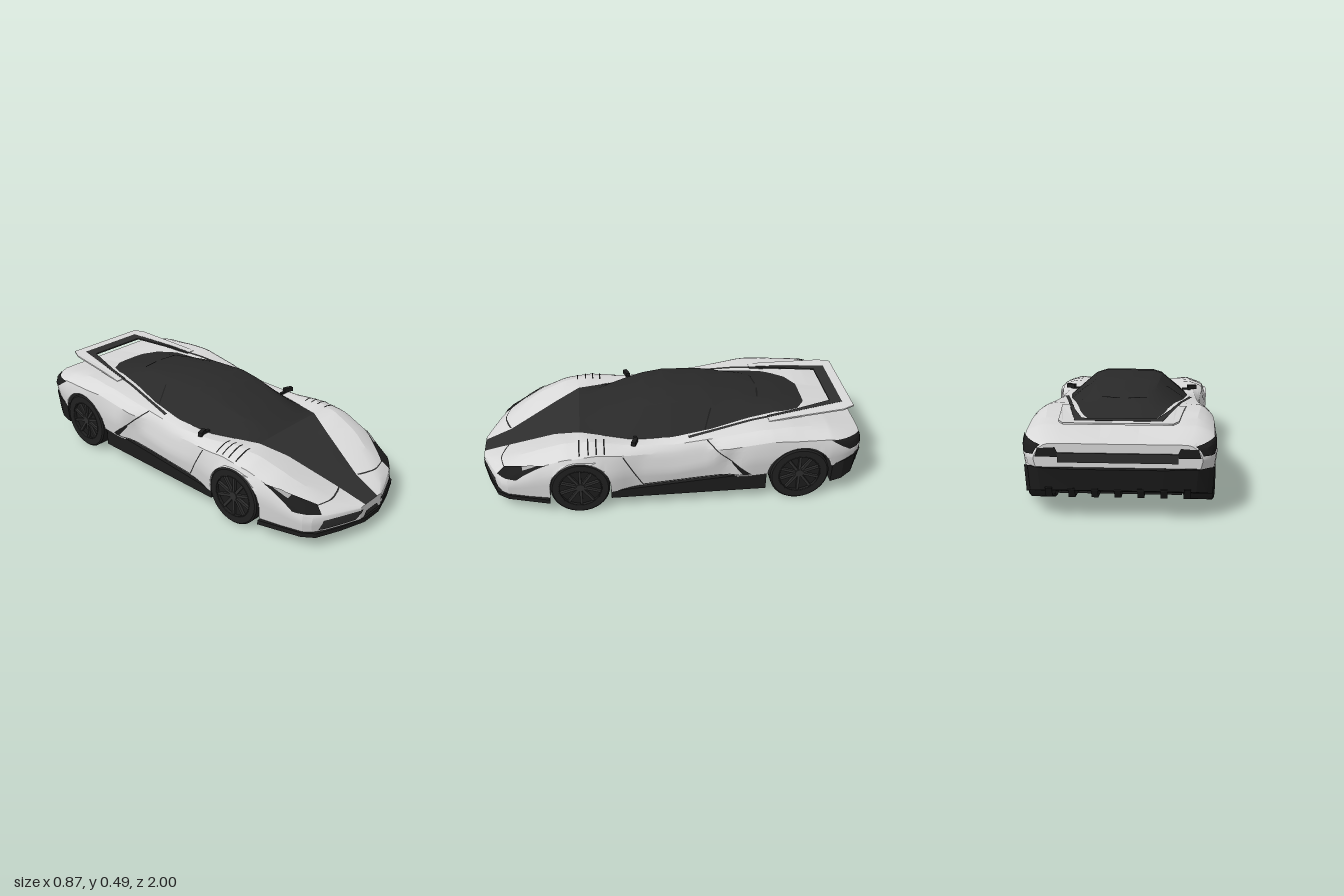
import * as THREE from 'three';
import { toCreasedNormals } from 'three/addons/utils/BufferGeometryUtils.js';

const paint = (name, color) => new THREE.MeshStandardMaterial({ name, color, side: THREE.DoubleSide });

// Piecewise linear profile along z, keys listed from nose to tail
const track = keys => z => {
  if (z >= keys[0][0]) return keys[0][1];
  for (let i = 1; i < keys.length; i++) {
    const [z0, v0] = keys[i - 1], [z1, v1] = keys[i];
    if (z >= z1) return v0 + (v1 - v0) * (z0 - z) / (z0 - z1);
  }
  return keys[keys.length - 1][1];
};

// Body lines: centre, glass edge, fender crest, shoulder, flank, lower edge
const centreY = track([[1, .15], [.85, .2], [.7, .27], [.47, .355], [.3, .42], [.12, .475], [0, .49], [-.2, .485], [-.4, .455], [-.6, .415], [-.73, .385], [-.97, .345]]);
const glassX = track([[1, .05], [.85, .075], [.6, .16], [.47, .22], [.2, .295], [0, .315], [-.2, .29], [-.4, .245], [-.6, .2], [-.68, .165], [-.73, .09], [-.97, .08]]);
const glassY = track([[1, .15], [.85, .2], [.6, .31], [.47, .353], [.2, .34], [0, .355], [-.2, .375], [-.4, .4], [-.55, .406], [-.73, .383], [-.97, .345]]);
const crestX = track([[1, .055], [.95, .14], [.85, .22], [.7, .28], [.48, .32], [.25, .345], [0, .36], [-.5, .37], [-.85, .33], [-.97, .3]]);
const crestY = track([[1, .148], [.9, .19], [.8, .245], [.68, .305], [.55, .35], [.42, .365], [.25, .345], [0, .34], [-.25, .372], [-.45, .403], [-.6, .405], [-.8, .388], [-.97, .345]]);
const shoulderX = track([[1, .06], [.97, .14], [.9, .3], [.85, .345], [.7, .385], [.5, .41], [.3, .405], [.15, .385], [-.1, .382], [-.18, .385], [-.25, .42], [-.6, .43], [-.85, .42], [-.93, .395], [-.97, .345]]);
const shoulderY = track([[1, .145], [.9, .165], [.8, .21], [.68, .27], [.55, .315], [.4, .33], [.2, .31], [0, .3], [-.25, .33], [-.5, .365], [-.8, .355], [-.97, .32]]);
const flankX = track([[1, .06], [.95, .2], [.9, .32], [.85, .36], [.75, .39], [.6, .425], [.4, .435], [.3, .425], [.2, .402], [-.15, .4], [-.28, .404], [-.35, .435], [-.8, .435], [-.87, .425], [-.93, .405], [-.97, .365]]);
const flankY = track([[1, .12], [.85, .14], [.6, .22], [0, .2], [-.3, .25], [-.97, .28]]);
const lowerY = track([[1, .08], [.63, .08], [.33, .105], [-.48, .165], [-.82, .19], [-.97, .24]]);

const axles = [{ name: 'front', z: .48, r: .15, arch: .153 }, { name: 'rear', z: -.65, r: .154, arch: .168 }];
const archY = z => {
  let y = 0;
  for (const a of axles) {
    const d = Math.abs(z - a.z);
    if (d <= a.arch + 1e-6) y = a.r + Math.sqrt(Math.max(0, a.arch ** 2 - d * d));
  }
  return y;
};

// Full cross-section from the right lower edge over the roof to the left one
function section(z) {
  const gx = glassX(z), gy = glassY(z), cy = centreY(z), low = archY(z);
  const domeX = [0, .42, .57, .75], domeY = [1, .99, .88, .52];
  const half = domeX.map((t, i) => [t * gx, gy + (cy - gy) * domeY[i]]);
  const side = new THREE.CatmullRomCurve3([[gx, gy], [crestX(z), crestY(z)], [shoulderX(z), shoulderY(z)],
    [flankX(z), flankY(z)], [flankX(z) * .975, lowerY(z)]].map(p => new THREE.Vector3(p[0], p[1], 0)), false, 'catmullrom', .25);
  for (const p of side.getPoints(12)) half.push([p.x, Math.max(p.y, low)]);
  return [...half.slice(1).reverse().map(([x, y]) => [-x, y]), ...half];
}

function gridGeometry(rows) {
  const n = rows[0].length, index = [];
  for (let i = 0; i + 1 < rows.length; i++) for (let j = 0; j + 1 < n; j++) {
    const a = i * n + j, q = [a, a + 1, a + n, a + n + 1];
    if (q.every(k => rows[Math.floor(k / n)][k % n])) index.push(q[0], q[1], q[2], q[1], q[3], q[2]);
  }
  const g = new THREE.BufferGeometry();
  g.setAttribute('position', new THREE.Float32BufferAttribute(rows.flat().flatMap(p => p || [0, 0, 0]), 3));
  g.setIndex(index);
  return toCreasedNormals(g, .3);
}

// Half outline in plan (x, z), mirrored and thickened upward
function planExtrude(half, y0, y1) {
  const pts = [...half, ...half.slice().reverse().map(([x, z]) => [-x, z])];
  const s = new THREE.Shape(pts.map(([x, z]) => new THREE.Vector2(x, -z)));
  return new THREE.ExtrudeGeometry(s, { depth: y1 - y0, bevelEnabled: false }).rotateX(-Math.PI / 2).translate(0, y0, 0);
}

// Side profile in (z, y), thickened along x
function sideExtrude(profile, depth, x) {
  const s = new THREE.Shape(profile.map(([z, y]) => new THREE.Vector2(-z, y)));
  return new THREE.ExtrudeGeometry(s, { depth, bevelEnabled: false }).rotateY(Math.PI / 2).translate(x, 0, 0);
}

function reshape(g, rule) {
  const p = g.attributes.position;
  for (let i = 0; i < p.count; i++) p.setXYZ(i, ...rule(p.getX(i), p.getY(i), p.getZ(i)));
  g.computeVertexNormals();
  return g;
}

export function createModel() {
  const car = new THREE.Group();
  car.name = 'sportsCar';
  const white = paint('bodyWhite', 0xd8d8d8), carbon = paint('carbonGrey', 0x2e2e2e), glass = paint('tintedGlass', 0x292929);
  const black = paint('trimBlack', 0x1c1c1c), tyre = paint('tyreBlack', 0x202020), silver = paint('silver', 0xa8a8a8);
  const add = (name, geo, mat, parent = car) => {
    const m = new THREE.Mesh(geo, mat);
    m.name = name;
    parent.add(m);
    return m;
  };
  const pair = (name, geo, mat) => {
    add(name + 'Left', geo, mat);
    add(name + 'Right', geo, mat).scale.x = -1;
  };

  // Shell lofted along z, with wheel arches cut into its lower edge
  const zs = [.47, -.73, -.97];
  for (let z = .99; z > -.96; z -= .035) zs.push(z);
  for (const a of axles) {
    for (let k = 0; k <= 16; k++) zs.push(a.z + a.arch * Math.cos(k * Math.PI / 16));
    zs.push(a.z + a.arch + .002, a.z - a.arch - .002);
  }
  zs.sort((a, b) => b - a);
  const loft = (from, to, j0, j1) => gridGeometry(zs.filter(z => z <= from + 1e-6 && z >= to - 1e-6)
    .map(z => section(z).slice(j0, j1 + 1).map(([x, y]) => [x, y, z])));
  const shell = [
    add('bodySideRight', loft(1, -1, 0, 12), white), add('bodySideLeft', loft(1, -1, 20, 32), white),
    add('hoodStripe', loft(1, .47, 12, 20), carbon), add('canopy', loft(.47, -.73, 12, 20), glass),
    add('rearDeck', loft(-.73, -1, 12, 20), white),
  ];
  for (const [name, z] of [['nosePanel', .99], ['tailPanel', -.97]]) {
    const g = new THREE.ShapeGeometry(new THREE.Shape(section(z).map(p => new THREE.Vector2(...p))));
    if (z < 0) g.rotateY(Math.PI);
    shell.push(add(name, g.translate(0, 0, z), white));
  }

  // Thin details laid onto the shell by projection
  car.updateMatrixWorld(true);
  const views = {
    front: [(a, b) => [a, b, 3], [0, 0, -1]], back: [(a, b) => [a, b, -3], [0, 0, 1]],
    top: [(a, b) => [a, 3, b], [0, -1, 0]], side: [(a, b) => [3, b, a], [-1, 0, 0]],
  };
  const decal = ([A, B, C, D], view, nu = 8, nv = 4, off = .005) => {
    const [origin, d] = views[view], dir = new THREE.Vector3(...d), rows = [];
    for (let i = 0; i <= nv; i++) {
      const row = [], v = i / nv;
      for (let j = 0; j <= nu; j++) {
        const u = j / nu;
        const at = k => (A[k] * (1 - u) + B[k] * u) * (1 - v) + (D[k] * (1 - u) + C[k] * u) * v;
        const hit = new THREE.Raycaster(new THREE.Vector3(...origin(at(0), at(1))), dir).intersectObjects(shell, false)[0];
        if (!hit) { row.push(null); continue; }
        const n = hit.face.normal.clone();
        if (n.dot(dir) > 0) n.negate();
        row.push(hit.point.addScaledVector(n, off).toArray());
      }
      rows.push(row);
    }
    return gridGeometry(rows);
  };
  const line = (a, b, t, view, nu = 12) => {
    const l = Math.hypot(b[0] - a[0], b[1] - a[1]), nx = -(b[1] - a[1]) / l * t / 2, ny = (b[0] - a[0]) / l * t / 2;
    return decal([[a[0] - nx, a[1] - ny], [b[0] - nx, b[1] - ny], [b[0] + nx, b[1] + ny], [a[0] + nx, a[1] + ny]], view, nu, 1, .003);
  };

  // Nose intakes and headlights
  pair('frontGrille', decal([[.115, .096], [.3, .096], [.28, .142], [.07, .139]], 'front', 10, 3), carbon);
  add('centreIntake', decal([[-.065, .09], [.065, .09], [.045, .118], [-.045, .118]], 'front', 6, 2), carbon);
  pair('headlight', decal([[.283, .167], [.37, .185], [.393, .28], [.268, .2]], 'front', 10, 10), black);
  pair('headlightLens', decal([[.338, .24], [.362, .232], [.382, .268], [.36, .262]], 'front', 4, 4, .008), silver);

  // Fender louvres, hood and door seams, side intake, glass seams
  [.35, .39, .43, .475].forEach(z => pair('fenderLouvre', line([.3, z], [.4, z], .007, 'top'), black));
  pair('hoodSeam', line([.08, .2], [.27, .197], .003, 'front'), carbon);
  [[[.26, .31], [.16, .13]], [[.16, .13], [-.38, .17]], [[-.17, .36], [-.3, .25]]]
    .forEach(([a, b]) => pair('doorSeam', line(a, b, .006, 'side'), carbon));
  pair('sideIntake', decal([[-.3, .255], [-.395, .175], [-.355, .172], [-.295, .245]], 'side', 8, 3), black);
  pair('windowPillar', line([.29, -.17], [.2, -.21], .007, 'top'), black);
  pair('roofVent', line([.02, -.485], [.11, -.47], .009, 'top'), black);

  // Tail lights and rear grille
  pair('tailLightSide', decal([[-.8, .352], [-.9, .29], [-.966, .295], [-.966, .335]], 'side', 8, 5), black);
  pair('tailLight', decal([[.25, .287], [.358, .287], [.345, .325], [.27, .33]], 'back', 6, 3), black);
  add('rearGrille', new THREE.BoxGeometry(.52, .042, .008), carbon).position.set(0, .284, -.974);

  // Wing: white frame rising from the haunches, with a dark inner border running forward along the body
  const wingY = track([[-.5, .4], [-.62, .409], [-.96, .427]]);
  const wing = (inner, outer, lift) => reshape(planExtrude([...inner, ...outer], 0, .008), (x, y, z) => [x, wingY(z) + y + lift, z]);
  add('rearWing', wing([[.19, -.91], [.243, -.62], [.262, -.5]], [[.3, -.5], [.287, -.62], [.262, -.9], [.235, -.96]], 0), white);
  add('wingBorder', wing([[.165, -.85], [.225, -.62], [.245, -.5]], [[.262, -.5], [.243, -.62], [.19, -.91]], .001), carbon);
  pair('deckBorder', line([.33, -.08], [.253, -.52], .017, 'top', 20), carbon);

  // Floor with splitter, chassis core and sills
  add('floorAndSplitter', planExtrude([[.06, 1], [.2, .957], [.322, .907], [.364, .85], [.393, .75], [.425, .638], [.29, .638],
    [.29, .322], [.41, .322], [.41, -.48], [.29, -.48], [.29, -.78]], .062, .085), black);
  add('chassisCore', new THREE.BoxGeometry(.56, .16, 1.4), black).position.set(0, .15, -.12);
  pair('sill', sideExtrude([[.325, .065], [-.48, .065], [-.48, .17], [.325, .108]], .05, .362), black);

  // Rear bumper, undercut towards the tail, with diffuser fins below
  const bumper = planExtrude([[.42, -.824], [.422, -.88], [.395, -.945], [.345, -.982], [.2, -1]], 0, 1);
  add('rearBumper', reshape(bumper, (x, y, z) => y > .5
    ? [x, Math.min(.24, .195 + (-.82 - z) * .45), z]
    : [x * .98, .08 + (-.82 - z) * .33, z + Math.max(0, -.9 - z) * .2]), black);
  for (let i = 0; i < 7; i++) {
    add('diffuserFin', sideExtrude([[-.8, .08], [-.955, .1], [-.985, .15], [-.8, .15]], .03, (i - 3) * .1 - .015), black);
  }

  // Door mirrors
  for (const s of [1, -1]) {
    add('mirrorStalk', new THREE.BoxGeometry(.05, .01, .015), black).position.set(s * .312, .35, .19);
    const m = add('mirror', new THREE.BoxGeometry(.05, .022, .022), black);
    m.position.set(s * .343, .36, .195);
    m.rotation.y = s * -.35;
  }

  // Wheels
  for (const a of axles) for (const s of [1, -1]) {
    const w = new THREE.Group(), r = a.r;
    w.name = a.name + (s > 0 ? 'WheelLeft' : 'WheelRight');
    const ring = [[.11, -.062], [r - .006, -.062], [r, -.055], [r, .054], [r - .008, .061], [.11, .061], [.11, -.062]];
    add('tyre', toCreasedNormals(new THREE.LatheGeometry(ring.map(p => new THREE.Vector2(...p)), 36), .5), tyre, w);
    add('rimDisc', new THREE.CylinderGeometry(.112, .112, .02, 36), black, w).position.y = .03;
    add('rimBack', new THREE.CylinderGeometry(.108, .108, .005, 24), silver, w).position.y = -.01;
    add('rimEdge', new THREE.TorusGeometry(.108, .003, 6, 36).rotateX(Math.PI / 2), carbon, w).position.y = .06;
    add('hub', new THREE.CylinderGeometry(.022, .025, .02, 16), carbon, w).position.y = .046;
    for (let k = 0; k < 10; k++) {
      const t = k * Math.PI / 5;
      const spoke = add('spoke', new THREE.BoxGeometry(.09, .014, .014), carbon, w);
      spoke.position.set(Math.cos(t) * .062, .046, -Math.sin(t) * .062);
      spoke.rotation.y = t;
    }
    w.position.set(s * .368, r, a.z);
    w.rotation.z = -s * Math.PI / 2;
    car.add(w);
  }
  return car;
}
